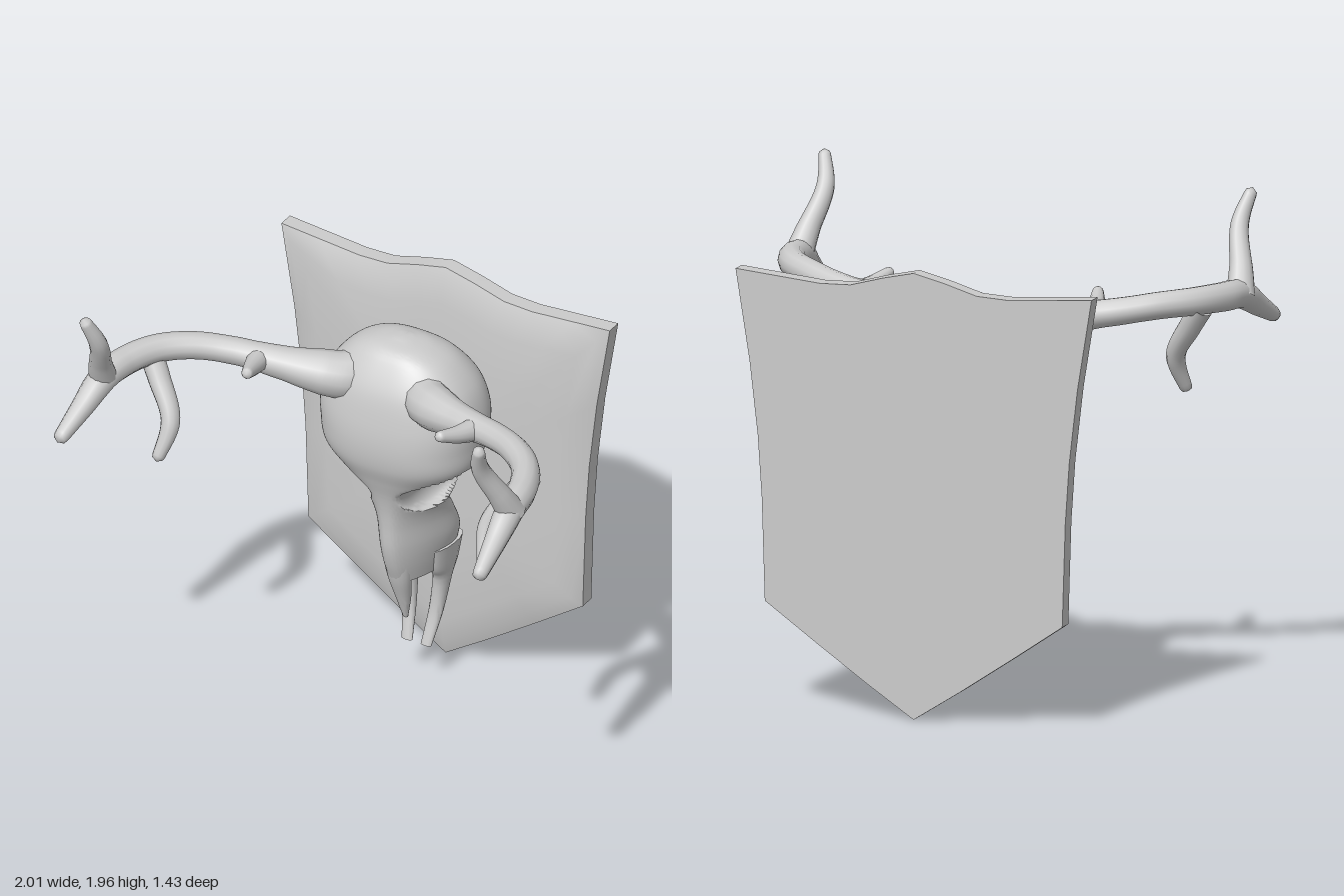
import * as THREE from 'three';
import { mergeVertices, toCreasedNormals } from 'three/addons/utils/BufferGeometryUtils.js';

const material = new THREE.MeshStandardMaterial({ color: 0xcccccc, side: THREE.DoubleSide });
const V = (x, y, z) => new THREE.Vector3(x, y, z);

function mesh(name, geometry) {
  const m = new THREE.Mesh(geometry, material);
  m.name = name;
  return m;
}

// Skin a list of closed rings, closing both ends on their centres
function skin(rings, crease = 0.9) {
  const centre = (ring) => {
    const c = ring.reduce((s, p) => s.add(p), V(0, 0, 0)).divideScalar(ring.length);
    return ring.map(() => c.clone());
  };
  const all = [centre(rings[0]), ...rings, centre(rings[rings.length - 1])];
  const n = rings[0].length, index = [];
  for (let i = 0; i < all.length - 1; i++) {
    for (let j = 0; j < n; j++) {
      const a = i * n + j, d = i * n + (j + 1) % n;
      if (i < all.length - 2) index.push(a, a + n, d + n);
      if (i > 0) index.push(a, d + n, d);
    }
  }
  const geo = new THREE.BufferGeometry().setFromPoints(all.flat());
  geo.setIndex(index);
  return toCreasedNormals(geo, crease);
}

// Smooth loft down the skull; row = [y, front z, back z, half width, front taper, centre x]
function loft(rows, steps, sides, power, shape = () => {}) {
  const spline = new THREE.CubicInterpolant(rows.map((r, i) => i), rows.flat(), 6);
  const pow = (v, p) => Math.sign(v) * Math.abs(v) ** p;
  const rings = [];
  for (let i = 0; i <= steps; i++) {
    const [y, f, b, w, taper, cx] = spline.evaluate((i / steps) * (rows.length - 1));
    const ring = [];
    for (let j = 0; j < sides; j++) {
      const t = (j / sides) * Math.PI * 2, c = pow(Math.cos(t), 0.9);
      const p = V(w * pow(Math.sin(t), power) * (1 - taper * (1 + c) / 2), y, (f + b) / 2 + c * (f - b) / 2);
      shape(p);
      p.x += cx;
      ring.push(p);
    }
    rings.push(ring);
  }
  return skin(rings);
}

// Tapered tube with a rounded tip
function horn(name, points, radii, sides = 12) {
  const curve = new THREE.CatmullRomCurve3(points.map((p) => V(...p)), false, 'centripetal');
  const seg = points.length * 8;
  const geo = new THREE.TubeGeometry(curve, seg, 1, sides, false);
  const pos = geo.attributes.position, v = V(0, 0, 0);
  const length = curve.getLength(), tip = radii[radii.length - 1] / length;
  for (let i = 0; i <= seg; i++) {
    // Crowd the last ring positions so the tip closes as a dome
    const u = i / seg, c = curve.getPointAt(u);
    const k = Math.min(u * (radii.length - 1), radii.length - 1.0001), a = Math.floor(k);
    const e = Math.max(0, (u - (1 - tip)) / tip);
    const r = THREE.MathUtils.lerp(radii[a], radii[a + 1], k - a) * Math.sqrt(Math.max(0, 1 - e * e));
    for (let j = 0; j <= sides; j++) {
      const id = i * (sides + 1) + j;
      v.fromBufferAttribute(pos, id).sub(c).multiplyScalar(r).add(c);
      pos.setXYZ(id, v.x, v.y, v.z);
    }
  }
  geo.deleteAttribute('uv');
  geo.deleteAttribute('normal');
  const merged = mergeVertices(geo, 1e-5);
  merged.computeVertexNormals();
  return mesh(name, merged);
}

// Shield board: flat back, straight rim, softly domed front
function createPlaque() {
  const half = [[0.13, 1.785], [0.27, 1.745], [0.4, 1.74], [0.58, 1.755], [0.76, 1.77], [0.7, 1.4],
    [0.665, 1.1], [0.648, 0.85], [0.635, 0.43], [0.42, 0.28], [0.2, 0.13]];
  const outline = [[0, 1.815], ...half, [0, 0], ...half.map(([x, y]) => [-x, y]).reverse()];
  const levels = [[1, -0.72], [1, -0.655], [0.93, -0.634], [0.82, -0.62], [0.55, -0.607], [0.25, -0.603]];
  return mesh('plaque', skin(levels.map(([s, z]) => outline.map(([x, y]) => V(x * s, 0.95 + (y - 0.95) * s, z)))));
}

function createSkull() {
  const skull = new THREE.Group();
  skull.name = 'skull';
  // Cranium and muzzle, with the eye sockets pressed in
  const rows = [
    [1.67, -0.31, -0.37, 0.03, 0, 0], [1.65, -0.235, -0.43, 0.13, 0, 0], [1.6, -0.185, -0.5, 0.225, 0, 0],
    [1.5, -0.13, -0.57, 0.31, 0, 0], [1.38, -0.103, -0.6, 0.348, 0, 0], [1.27, -0.095, -0.58, 0.355, 0.05, 0],
    [1.17, -0.107, -0.515, 0.355, 0.15, 0], [1.08, -0.14, -0.485, 0.325, 0.35, 0], [1.0, -0.168, -0.478, 0.262, 0.5, 0],
    [0.92, -0.187, -0.478, 0.212, 0.6, 0], [0.84, -0.198, -0.53, 0.198, 0.65, 0], [0.73, -0.208, -0.588, 0.195, 0.65, 0],
    [0.64, -0.23, -0.595, 0.165, 0.6, 0], [0.55, -0.265, -0.575, 0.128, 0.55, 0],
  ];
  const socket = (p) => {
    const d = Math.hypot((p.y - 1.04) / 0.125, (p.z + 0.305) / 0.137);
    if (d < 1) p.x *= 1 - 0.5 * Math.sqrt(1 - d * d);
  };
  skull.add(mesh('cranium', loft(rows, 104, 88, 0.75, socket)));

  // Pointed nasal bone
  skull.add(mesh('nasalBone', loft([
    [0.66, -0.235, -0.33, 0.075, 0.3, 0], [0.55, -0.262, -0.335, 0.058, 0.3, 0],
    [0.45, -0.3, -0.357, 0.036, 0.2, 0], [0.34, -0.342, -0.358, 0.01, 0, 0],
  ], 12, 16, 0.9)));

  // Pair of jaw prongs
  for (const s of [1, -1]) {
    skull.add(mesh(s > 0 ? 'leftProng' : 'rightProng', loft([
      [0.66, -0.38, -0.59, 0.05, 0.2, s * 0.1], [0.55, -0.41, -0.578, 0.042, 0.2, s * 0.088],
      [0.48, -0.452, -0.553, 0.036, 0.1, s * 0.078], [0.32, -0.455, -0.505, 0.03, 0, s * 0.062],
      [0.175, -0.422, -0.445, 0.024, 0, s * 0.044],
    ], 16, 16, 0.9)));
  }
  return skull;
}

// Beam, brow tine, hanging tine and upper tine, on the model's left
function createAntler() {
  const antler = new THREE.Group();
  antler.add(
    horn('beam', [[0.16, 1.49, -0.25], [0.2, 1.495, -0.2], [0.29, 1.515, -0.145], [0.43, 1.54, -0.09], [0.6, 1.565, -0.035],
      [0.74, 1.585, 0.04], [0.85, 1.59, 0.14], [0.915, 1.585, 0.27], [0.94, 1.57, 0.41], [0.955, 1.5, 0.55], [0.972, 1.42, 0.71]],
      [0.1, 0.092, 0.07, 0.057, 0.055, 0.056, 0.058, 0.06, 0.056, 0.042, 0.028]),
    horn('browTine', [[0.5, 1.55, -0.06], [0.475, 1.57, 0.04], [0.44, 1.605, 0.145]], [0.05, 0.035, 0.02]),
    horn('hangingTine', [[0.88, 1.57, 0.15], [0.82, 1.48, 0.18], [0.735, 1.34, 0.235], [0.755, 1.18, 0.31]],
      [0.05, 0.045, 0.038, 0.024]),
    horn('upperTine', [[0.945, 1.56, 0.4], [0.925, 1.66, 0.455], [0.885, 1.82, 0.54], [0.915, 1.96, 0.605]],
      [0.06, 0.045, 0.037, 0.023]),
  );
  return antler;
}

export function createModel() {
  const model = new THREE.Group();
  model.name = 'mountedSkull';
  const left = createAntler();
  left.name = 'leftAntler';
  const right = createAntler();
  right.name = 'rightAntler';
  right.scale.x = -1;
  model.add(createPlaque(), createSkull(), left, right);
  return model;
}
